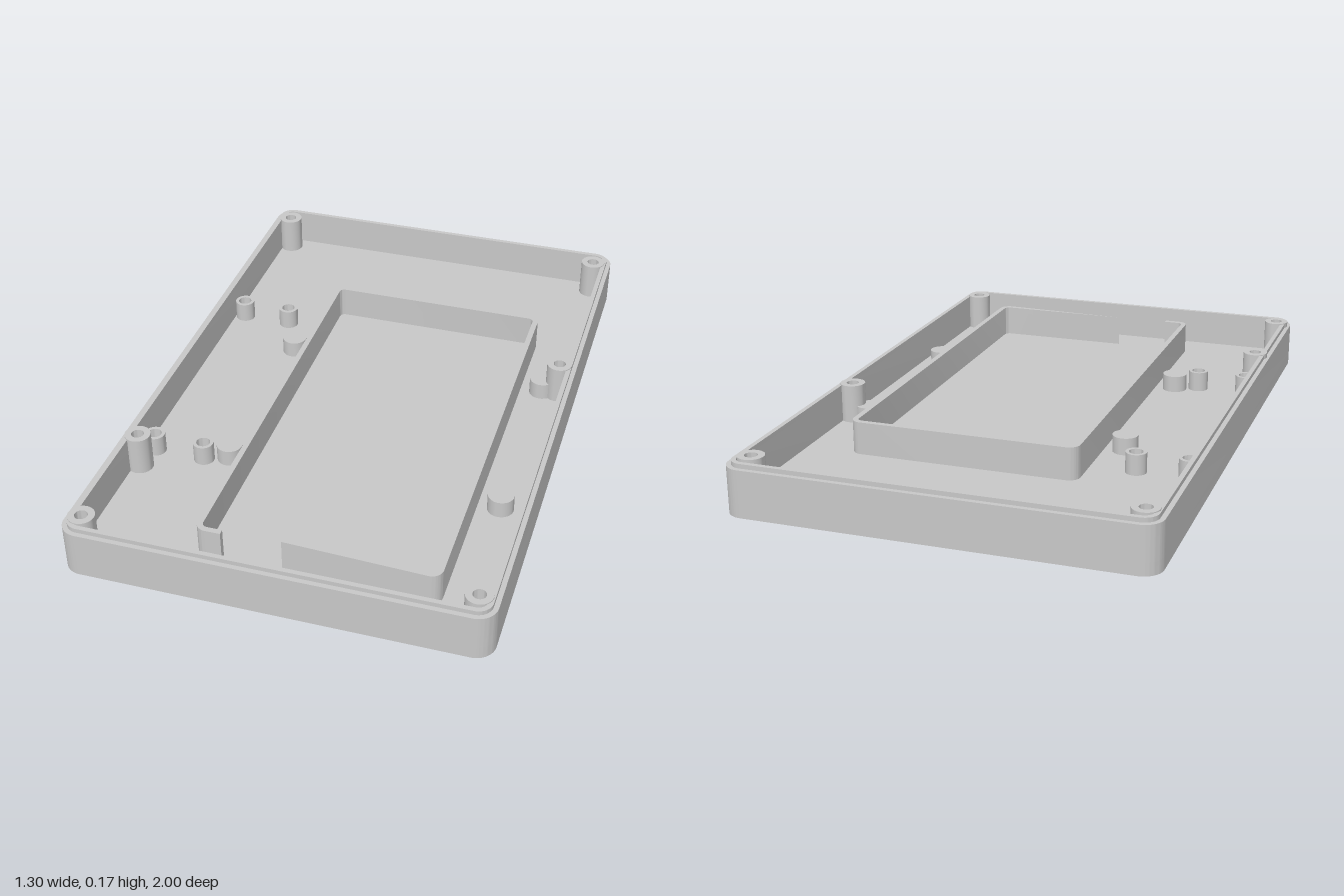
import * as THREE from 'three';
import { toCreasedNormals } from 'three/addons/utils/BufferGeometryUtils.js';

const FLOOR = 0.04, LEDGE = 0.148, LIP_TOP = 0.162, POST_TOP = 0.165;

// screw posts, support pegs and standoffs as [x, z]
const POSTS = [[-0.588, -0.918], [0.587, -0.918], [-0.598, 0.926], [0.588, 0.92], [0.592, -0.232], [-0.598, 0.521]];
const PEGS = [[-0.34, -0.232], [0.538, -0.232], [-0.34, 0.405], [0.538, 0.405]];
const STANDOFFS = [[-0.583, -0.391], [-0.418, -0.391], [-0.583, 0.432], [-0.418, 0.432]];

// rounded rectangle centred on the origin
function roundedRect(w, d, r, PathType = THREE.Shape) {
  const p = new PathType(), x = w - r, y = d - r;
  p.absarc(x, -y, r, -Math.PI / 2, 0);
  p.absarc(x, y, r, 0, Math.PI / 2);
  p.absarc(-x, y, r, Math.PI / 2, Math.PI);
  p.absarc(-x, -y, r, Math.PI, Math.PI * 1.5);
  return p;
}

// stands a plan shape (its y is -z) up between two heights
function extrudeUp(shape, y0, y1) {
  const g = new THREE.ExtrudeGeometry(shape, { depth: y1 - y0, bevelEnabled: false, curveSegments: 12 });
  g.rotateX(-Math.PI / 2);
  g.translate(0, y0, 0);
  return toCreasedNormals(g, 0.6);
}

function turned(points) {
  const g = new THREE.LatheGeometry(points.map(([x, y]) => new THREE.Vector2(x, y)), 32);
  return toCreasedNormals(g, 0.5);
}

// open rounded wall with a gap in its front side
function frameShape() {
  const x0 = -0.273, x1 = 0.467, y0 = -0.869, y1 = 0.523, t = 0.018, R = 0.035, r = R - t;
  const gap0 = -0.19, gap1 = -0.01, q = Math.PI / 2;
  const corners = [[x1 - R, y0 + R, -q], [x1 - R, y1 - R, 0], [x0 + R, y1 - R, q], [x0 + R, y0 + R, 2 * q]];
  const s = new THREE.Shape();
  s.moveTo(gap1, y0);
  for (const [x, y, a] of corners) s.absarc(x, y, R, a, a + q, false);
  s.lineTo(gap0, y0);
  s.lineTo(gap0, y0 + t);
  for (const [x, y, a] of corners.slice().reverse()) s.absarc(x, y, r, a + q, a, true);
  s.lineTo(gap1, y0 + t);
  return s;
}

export function createModel() {
  const group = new THREE.Group();
  const grey = new THREE.MeshStandardMaterial({ color: 0xc8c8c8 });
  grey.name = 'light grey plastic';
  const add = (name, geometry, x = 0, z = 0) => {
    const mesh = new THREE.Mesh(geometry, grey);
    mesh.name = name;
    mesh.position.set(x, 0, z);
    group.add(mesh);
  };

  // floor with screw and peg holes
  const floor = roundedRect(0.648, 1, 0.06);
  const punch = (r) => ([x, z]) => {
    const hole = new THREE.Path();
    hole.absarc(x, -z, r, 0, Math.PI * 2, true);
    floor.holes.push(hole);
  };
  POSTS.forEach(punch(0.034));
  PEGS.forEach(punch(0.023));
  add('floor', extrudeUp(floor, 0, FLOOR));

  // outer wall and the narrower lip on top of it
  const wall = roundedRect(0.648, 1, 0.06);
  wall.holes.push(roundedRect(0.618, 0.97, 0.03, THREE.Path));
  add('outerWall', extrudeUp(wall, FLOOR, LEDGE));
  const lip = roundedRect(0.633, 0.985, 0.045);
  lip.holes.push(roundedRect(0.618, 0.97, 0.03, THREE.Path));
  add('lip', extrudeUp(lip, LEDGE, LIP_TOP));

  // inner frame
  add('innerFrame', extrudeUp(frameShape(), FLOOR, 0.145));

  // hollow screw posts, countersunk from below
  const post = turned([[0.041, FLOOR], [0.041, POST_TOP], [0.02, POST_TOP], [0.02, 0.025], [0.034, 0]]);
  POSTS.forEach(([x, z]) => add('screwPost', post, x, z));

  // pegs with a blind hole from below
  const peg = turned([[0.041, FLOOR], [0.041, 0.095], [0, 0.095], [0, 0.08], [0.023, 0.08], [0.023, 0]]);
  PEGS.forEach(([x, z]) => add('supportPeg', peg, x, z));

  // small standoffs open at the top
  const standoff = turned([[0.033, FLOOR], [0.033, 0.106], [0.022, 0.106], [0.019, FLOOR]]);
  STANDOFFS.forEach(([x, z]) => add('standoff', standoff, x, z));

  return group;
}
